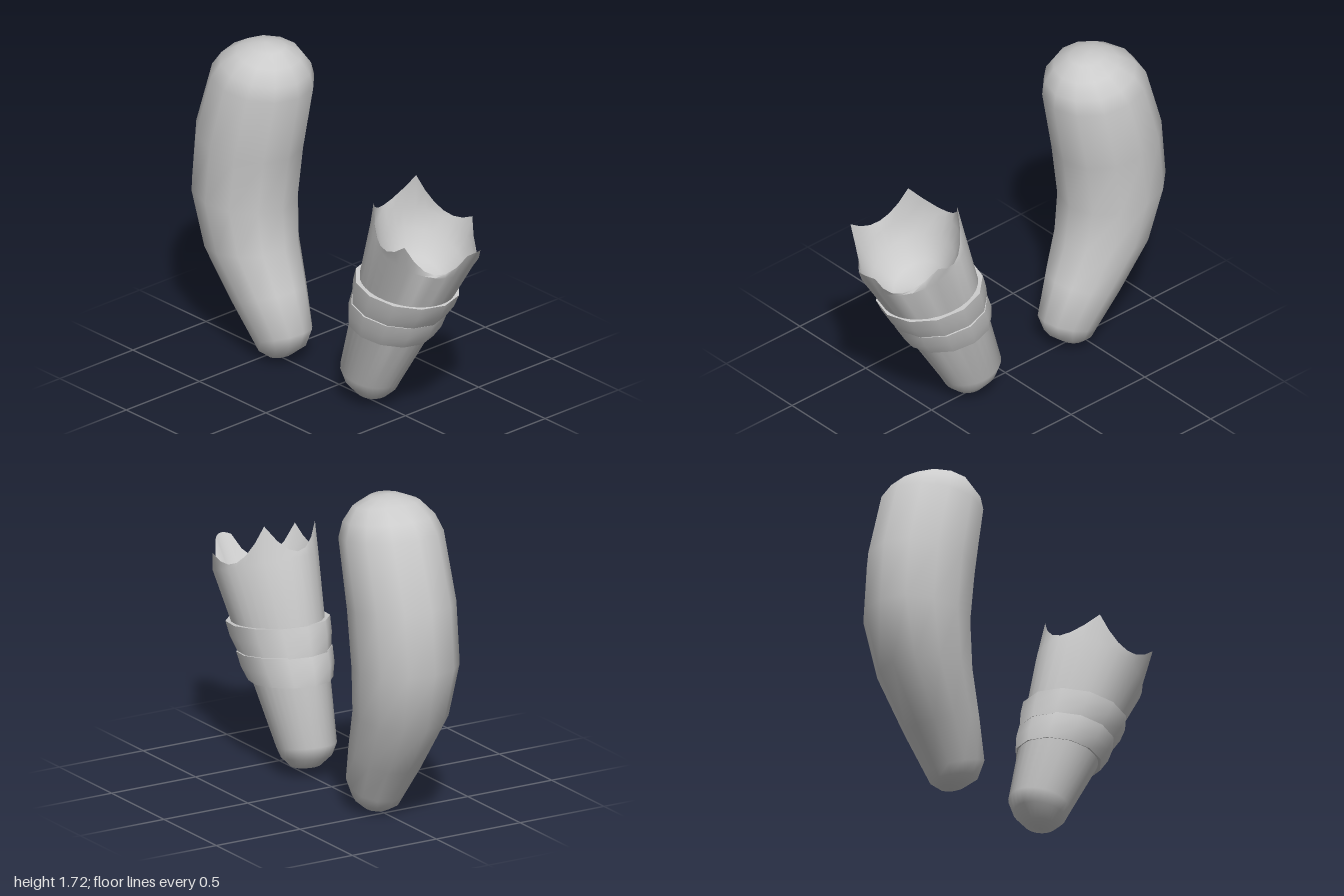
import * as THREE from 'three';
import { toCreasedNormals } from 'three/addons/utils/BufferGeometryUtils.js';

const grey = new THREE.MeshStandardMaterial({ color: 0xcccccc });
const greyDouble = new THREE.MeshStandardMaterial({ color: 0xcccccc, side: THREE.DoubleSide });
const evenAngles = Array.from({ length: 12 }, (_, i) => (i / 12) * Math.PI * 2);

// Tilted oval ring: [front z, front y, back z, back y, half width, centre x]
function ovalRing([fz, fy, bz, by, rx, cx = 0], angles) {
  return angles.map((a) => {
    const t = (1 + Math.cos(a)) / 2;
    return new THREE.Vector3(cx + rx * Math.sin(a), by + (fy - by) * t, bz + (fz - bz) * t);
  });
}

// Skin over a list of closed rings with equal point counts
function loft(name, rings, crease, material) {
  const n = rings[0].length;
  const index = [];
  for (let i = 0; i < rings.length - 1; i++) {
    for (let j = 0; j < n; j++) {
      const k = (j + 1) % n;
      const a = i * n + j, b = i * n + k, c = a + n, d = b + n;
      index.push(a, b, d, a, d, c);
    }
  }
  const geometry = new THREE.BufferGeometry().setFromPoints(rings.flat());
  geometry.setIndex(index);
  const mesh = new THREE.Mesh(toCreasedNormals(geometry, crease), material);
  mesh.name = name;
  return mesh;
}

// Torn rim: peaks joined by curves that sag through a low point
function tornRim() {
  const v = (x, y, z) => new THREE.Vector3(x, y, z);
  const arcs = [
    // peak, middle of the curve to the next peak
    [v(-0.015, 1.07, 0.985), v(0.04, 1.082, 1.0)],
    [v(0.09, 1.065, 0.965), v(0.165, 0.96, 0.85)],
    [v(0.275, 1.1, 0.7), v(0.235, 1.085, 0.53)],
    [v(0.128, 1.285, 0.44), v(-0.03, 1.145, 0.37)],
    [v(-0.2, 1.25, 0.48), v(-0.27, 1.075, 0.61)],
    [v(-0.28, 1.135, 0.8), v(-0.13, 0.955, 0.865)],
  ];
  const points = [];
  arcs.forEach(([p, mid], i) => {
    const q = arcs[(i + 1) % arcs.length][0];
    const control = mid.clone().multiplyScalar(2).addScaledVector(p, -0.5).addScaledVector(q, -0.5);
    points.push(...new THREE.QuadraticBezierCurve3(p, control, q).getPoints(6).slice(0, 6));
  });
  return points;
}

export function createModel() {
  const group = new THREE.Group();

  // Bent limb with rounded ends
  const limb = [
    [-0.44, 0.0, -0.44, 0.0, 0],
    [-0.38, 0.025, -0.5, 0.01, 0.07],
    [-0.3, 0.09, -0.55, 0.035, 0.122],
    [-0.265, 0.19, -0.58, 0.08, 0.15],
    [-0.335, 0.4, -0.72, 0.27, 0.195],
    [-0.405, 0.6, -0.91, 0.55, 0.24],
    [-0.43, 0.82, -1.0, 0.87, 0.27, 0.005],
    [-0.39, 1.12, -0.97, 1.2, 0.273, 0.007],
    [-0.32, 1.48, -0.86, 1.55, 0.266, 0.014],
    [-0.33, 1.56, -0.8, 1.63, 0.235, 0.012],
    [-0.375, 1.64, -0.7, 1.69, 0.175, 0.01],
    [-0.45, 1.7, -0.64, 1.705, 0.09, 0.01],
    [-0.56, 1.718, -0.56, 1.718, 0, 0.01],
  ];
  group.add(loft('limb', limb.map((r) => ovalRing(r, evenAngles)), 1.4, grey));

  // Tapered sleeve, its torn rim, and the hollow inside
  const rim = tornRim();
  const rimAngles = rim.map((p) => Math.atan2(p.x / 0.27, (p.z - 0.635) / 0.28));
  const outside = [
    [0.25, 0.028, 0.25, 0.028, 0],
    [0.33, 0.042, 0.17, 0.055, 0.08],
    [0.38, 0.085, 0.1, 0.12, 0.128],
    [0.405, 0.13, 0.075, 0.19, 0.15],
    [0.91, 0.93, 0.355, 1.12, 0.265],
  ];
  const inside = [
    [0.89, 0.92, 0.38, 1.11, 0.25],
    [0.83, 0.85, 0.41, 1.01, 0.21],
    [0.72, 0.78, 0.46, 0.88, 0.12],
    [0.57, 0.8, 0.57, 0.8, 0],
  ];
  const ring = (r) => ovalRing(r, rimAngles);
  group.add(loft('tornSleeve', [...outside.map(ring), rim, ...inside.map(ring)], 0.9, greyDouble));

  // Two bulging bands around the sleeve
  const bands = {
    lowerBand: [
      [0.58, 0.46, 0.19, 0.5, 0.18],
      [0.628, 0.445, 0.153, 0.492, 0.207],
      [0.678, 0.51, 0.163, 0.565, 0.23],
      [0.708, 0.58, 0.195, 0.645, 0.24],
      [0.65, 0.59, 0.25, 0.64, 0.2],
    ],
    upperBand: [
      [0.66, 0.6, 0.24, 0.64, 0.2],
      [0.712, 0.582, 0.19, 0.638, 0.23],
      [0.765, 0.65, 0.205, 0.715, 0.25],
      [0.8, 0.722, 0.23, 0.79, 0.258],
      [0.74, 0.73, 0.28, 0.78, 0.21],
    ],
  };
  for (const [name, rows] of Object.entries(bands)) {
    group.add(loft(name, rows.map((r) => ovalRing(r, evenAngles)), 0.9, greyDouble));
  }
  return group;
}
